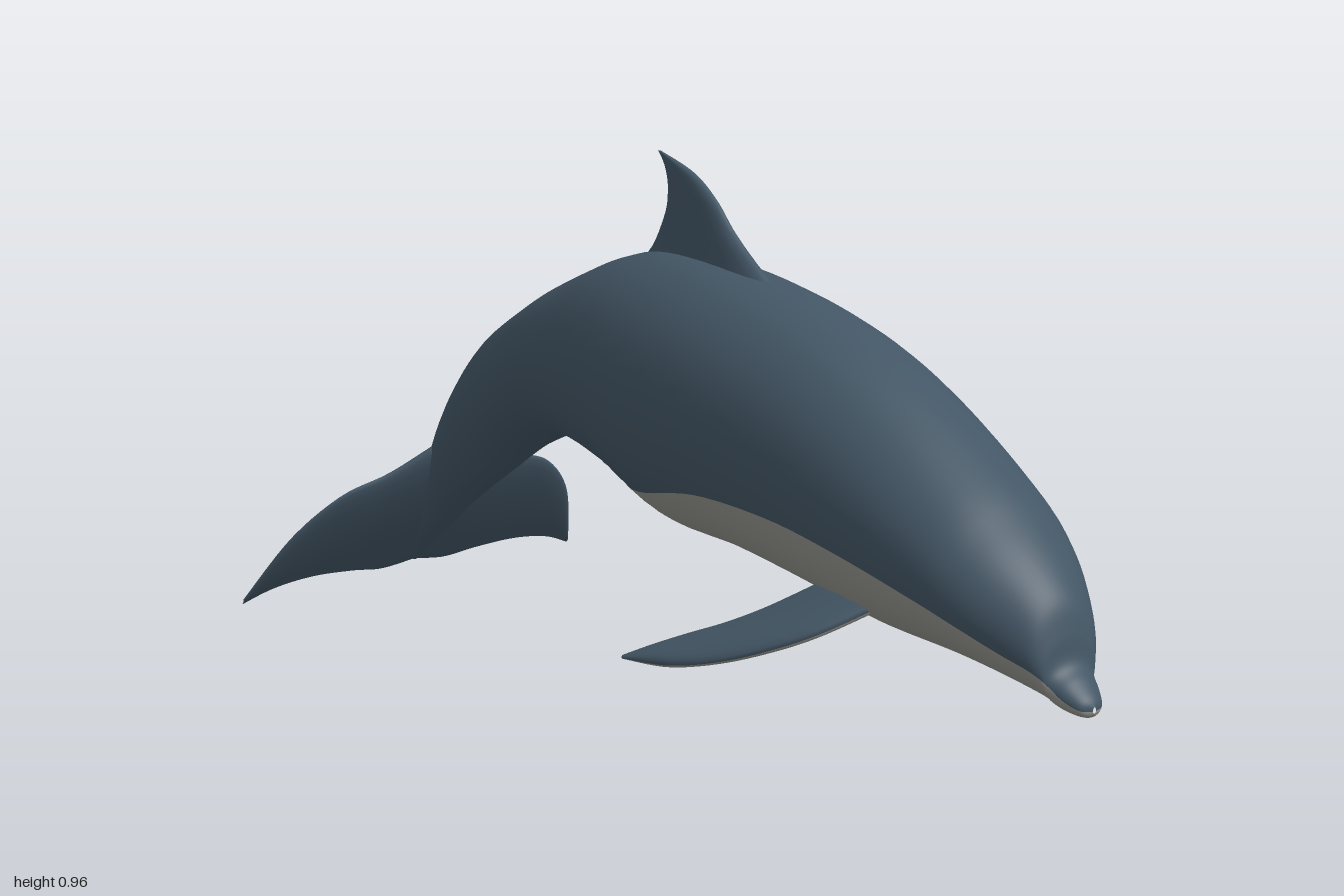
import * as THREE from 'three';

const skin = new THREE.MeshStandardMaterial({ color: 0x435665 });
skin.name = 'slate skin';
const pale = new THREE.MeshStandardMaterial({ color: 0x94948f });
pale.name = 'pale belly';

// Smooth interpolation through rows of numbers, t from 0 to 1
function sample(rows, t) {
  const f = t * (rows.length - 1);
  const i = Math.min(Math.floor(f), rows.length - 2);
  const u = f - i;
  const at = k => rows[Math.max(0, Math.min(rows.length - 1, k))];
  return rows[0].map((_, c) => {
    const [a, b, d, e] = [at(i - 1)[c], at(i)[c], at(i + 1)[c], at(i + 2)[c]];
    const m0 = (d - a) / 2, m1 = (e - b) / 2;
    return b + u * m0 + u * u * (3 * (d - b) - 2 * m0 - m1) + u * u * u * (2 * (b - d) + m0 + m1);
  });
}

// Skins closed rings; isSecond(ring, k) picks the second material for a face
function loft(rings, isSecond, flip) {
  const n = rings[0].length;
  const first = [], second = [];
  for (let i = 0; i < rings.length - 1; i++) {
    for (let k = 0; k < n; k++) {
      const a = i * n + k, b = i * n + (k + 1) % n, c = a + n, d = b + n;
      const out = isSecond(i, k) ? second : first;
      if (flip) out.push(a, c, b, b, c, d);
      else out.push(a, b, c, b, d, c);
    }
  }
  const g = new THREE.BufferGeometry();
  g.setAttribute('position', new THREE.Float32BufferAttribute(rings.flat().flatMap(p => p.toArray()), 3));
  g.setIndex([...first, ...second]);
  g.addGroup(0, first.length, 0);
  g.addGroup(first.length, second.length, 1);
  g.computeVertexNormals();
  return g;
}

// Body sections: z, top y, bottom y, half width, height of the belly line
const BODY = [
  [1.0, 0.284, 0.274, 0.003, 0.278],
  [0.992, 0.297, 0.266, 0.022, 0.28],
  [0.97, 0.318, 0.266, 0.036, 0.292],
  [0.947, 0.34, 0.271, 0.046, 0.31],
  [0.937, 0.385, 0.275, 0.056, 0.322],
  [0.92, 0.432, 0.28, 0.071, 0.335],
  [0.88, 0.478, 0.289, 0.096, 0.355],
  [0.82, 0.53, 0.299, 0.126, 0.385],
  [0.74, 0.588, 0.304, 0.148, 0.413],
  [0.57, 0.684, 0.306, 0.169, 0.45],
  [0.4, 0.75, 0.324, 0.181, 0.469],
  [0.2, 0.79, 0.34, 0.189, 0.462],
  [0.0, 0.805, 0.343, 0.187, 0.418],
  [-0.18, 0.785, 0.395, 0.168, 0.396],
  [-0.37, 0.71, 0.418, 0.136, 0.35],
  [-0.52, 0.634, 0.367, 0.11, 0.3],
  [-0.66, 0.545, 0.278, 0.088, 0.2],
  [-0.78, 0.415, 0.198, 0.069, 0.1],
  [-0.875, 0.25, 0.125, 0.048, 0],
  [-0.94, 0.125, 0.075, 0.026, 0],
  [-0.975, 0.055, 0.043, 0.008, 0],
];

function makeBody() {
  const STEPS = 120, BACK = 36, BELLY = 18;
  const rings = [], zs = [];
  for (let i = 0; i <= STEPS; i++) {
    const [z, top, bottom, w, line] = sample(BODY, i / STEPS);
    const mid = (top + bottom) / 2, h = (top - bottom) / 2;
    // angle from the top at which the belly begins
    const phi = Math.min(Math.acos(THREE.MathUtils.clamp((line - mid) / h, -1, 1)), Math.PI * 0.94);
    const ring = [];
    for (let k = 0; k < BACK + BELLY; k++) {
      const a = k < BACK
        ? -phi + 2 * phi * k / BACK
        : phi + (2 * Math.PI - 2 * phi) * (k - BACK) / BELLY;
      ring.push(new THREE.Vector3(w * Math.sin(a), mid + h * Math.cos(a), z));
    }
    rings.push(ring);
    zs.push(z);
  }
  return loft(rings, (i, k) => k >= BACK && zs[i] > -0.17, false);
}

// Lens-shaped fin. Rows: lead x y z, trail x y z, half thickness
function makeFin(rows, normal) {
  const STEPS = 28, SIDES = 20;
  const rings = [];
  let flip = false;
  for (let i = 0; i <= STEPS; i++) {
    const r = sample(rows, i / STEPS);
    const lead = new THREE.Vector3(r[0], r[1], r[2]);
    const trail = new THREE.Vector3(r[3], r[4], r[5]);
    const ring = [];
    for (let k = 0; k < SIDES; k++) {
      const a = 2 * Math.PI * k / SIDES;
      const c = (1 + Math.cos(a)) / 2;
      // fuller toward the leading edge, thin at the trailing edge
      const off = r[6] * Math.sin(a) * (0.45 + 0.65 * c);
      ring.push(trail.clone().lerp(lead, c).addScaledVector(normal, off));
    }
    rings.push(ring);
  }
  const v = j => new THREE.Vector3(...rows[j].slice(0, 3));
  const chord = new THREE.Vector3(...rows[0].slice(3, 6)).sub(v(0));
  flip = chord.cross(v(rows.length - 1).sub(v(0))).dot(normal) < 0;
  return loft(rings, (i, k) => k >= SIDES / 2, flip);
}

export function createModel() {
  const model = new THREE.Group();
  model.name = 'dolphin';
  const add = (name, geometry, materials) => {
    const mesh = new THREE.Mesh(geometry, materials);
    mesh.name = name;
    model.add(mesh);
  };

  add('body', makeBody(), [skin, pale]);

  // Dorsal fin: y, lead z, trail z, half thickness
  const dorsal = [
    [0.74, 0.27, -0.3, 0.05], [0.8, 0.165, -0.18, 0.028], [0.855, 0.08, -0.127, 0.019],
    [0.905, 0.022, -0.118, 0.014], [0.942, -0.045, -0.13, 0.009], [0.966, -0.145, -0.152, 0.002],
  ].map(([y, l, t, h], i) => [0.002 * i, y, l, 0.002 * i, y - (i < 2 ? 0.02 : 0), t, h]);
  add('dorsalFin', makeFin(dorsal, new THREE.Vector3(1, 0, 0)), [skin, skin]);

  for (const side of [1, -1]) {
    const label = side > 0 ? 'left' : 'right';

    // Flipper: lead x z, trail x z, half thickness, on a drooping plane
    const drop = x => 0.335 - 0.52 * (x - 0.14);
    const flipper = [
      [0.1, 0.6, 0.1, 0.44, 0.02], [0.175, 0.555, 0.17, 0.4, 0.02], [0.23, 0.505, 0.22, 0.36, 0.019],
      [0.285, 0.435, 0.26, 0.317, 0.016], [0.325, 0.35, 0.3, 0.278, 0.013], [0.345, 0.25, 0.338, 0.245, 0.003],
    ].map(([lx, lz, tx, tz, h]) => [side * lx, drop(lx), lz, side * tx, drop(tx), tz, h]);
    add(label + 'Flipper', makeFin(flipper, new THREE.Vector3(side * 0.46, 0.89, 0)), [skin, pale]);

    // Tail fluke: x, lead z, trail z, half thickness, on a sloping plane
    const slope = z => 0.01 + 1.5 * (z + 1);
    const fluke = [
      [0, -0.77, -0.977, 0.032], [0.07, -0.8, -0.984, 0.025], [0.14, -0.827, -0.978, 0.018],
      [0.23, -0.85, -0.975, 0.013], [0.31, -0.905, -0.983, 0.009], [0.37, -0.993, -1, 0.002],
    ].map(([x, l, t, h]) => [side * x, slope(l), l, side * x, slope(t), t, h]);
    add(label + 'Fluke', makeFin(fluke, new THREE.Vector3(0, 0.555, -0.832)), [skin, skin]);
  }
  return model;
}
